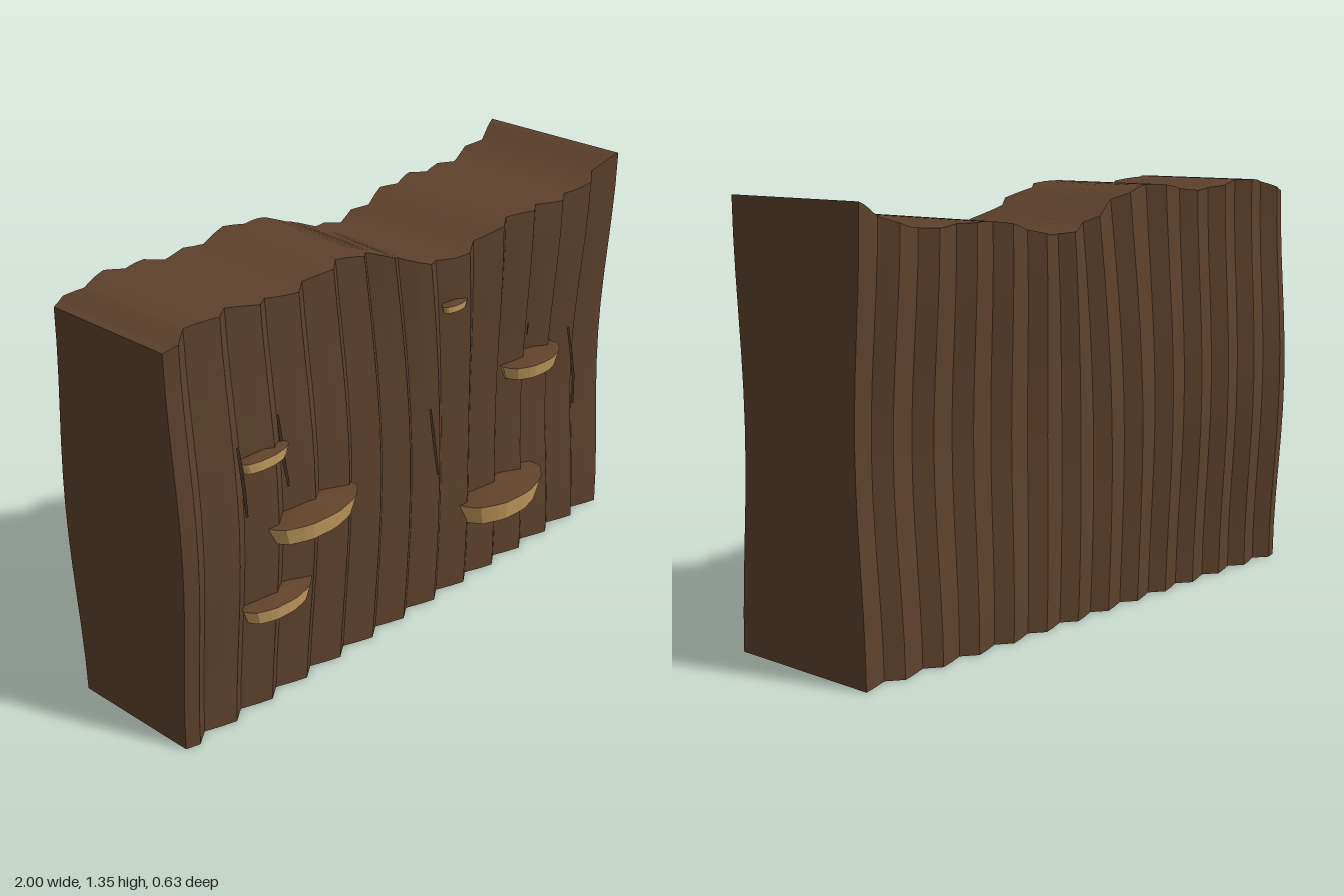
import * as THREE from 'three';

const bark = new THREE.MeshStandardMaterial({ color: 0x5d412c });
bark.name = 'bark brown';
const crackDark = new THREE.MeshStandardMaterial({ color: 0x38281b });
crackDark.name = 'crack dark brown';
crackDark.side = THREE.DoubleSide;
const fungusTop = new THREE.MeshStandardMaterial({ color: 0x60422b });
fungusTop.name = 'fungus cap brown';
const fungusRim = new THREE.MeshStandardMaterial({ color: 0xc89f60 });
fungusRim.name = 'fungus rim tan';

// Wavy upper edge, heights at even steps across x
const heights = [1.3, 1.335, 1.345, 1.338, 1.323, 1.32, 1.335, 1.345, 1.332, 1.297, 1.252,
  1.22, 1.212, 1.232, 1.257, 1.268, 1.265, 1.26, 1.268, 1.3, 1.345];
const edge = new THREE.SplineCurve(heights.map((h, i) => new THREE.Vector2(i, h)));
const topAt = (x) => edge.getPoint(THREE.MathUtils.clamp((x + 1) / 2, 0, 1) ).y;

// Saw-tooth ridges: steep drop, then a gentle two-part rise
const PERIOD = 0.1506, FIRST = -0.955;
function ridge(u) {
  const q = (u - FIRST) / PERIOD, p = q - Math.floor(q);
  if (p < 0.33) return 1 - p / 0.33;
  return p < 0.7 ? (0.6 * (p - 0.33)) / 0.37 : 0.6 + (0.4 * (p - 0.7)) / 0.3;
}
// Sideways wander of the ridges with height, pinned at both ends
const pin = (u) => 1 - Math.pow(Math.abs(u), 8);
const lean = (u, v) => v * v * Math.exp(-Math.pow(u / 0.22, 2));
const frontWander = (u, v) => pin(u)
  * (0.035 * Math.sin(Math.PI * v) * Math.cos(1.9 * u + 0.4) - 0.045 * lean(u - 0.02, v));
const backWander = (u, v) => pin(u)
  * (-0.02 * Math.sin(Math.PI * v) * Math.cos(2.5 * u) + 0.04 * lean(u + 0.1, v));

// Slow swelling of the trunk faces, with a hollow under the middle of the upper edge
const swell = (u, v) => 0.016 * Math.cos(2 * Math.PI * v) * Math.sin(Math.PI * u / 2)
  - 0.02 * lean(u + 0.17, v);
const frontZ = (u, v) => 0.177 + 0.035 * ridge(u) + swell(u, v);
const backZ = (u, v) => -0.26 - 0.035 * ridge(u) - swell(u, v);

function flat(geometry) {
  const g = geometry.toNonIndexed();
  g.computeVertexNormals();
  return g;
}

function fromGrid(positions, index) {
  const g = new THREE.BufferGeometry();
  g.setAttribute('position', new THREE.Float32BufferAttribute(positions, 3));
  g.setIndex(index);
  return flat(g);
}

// Slab made of rings around front, top, back and bottom, one per ridge crease
function barkGeometry() {
  const knots = [-1];
  for (let k = -1; k < 15; k++) {
    for (const p of [0, 0.33, 0.7]) {
      const u = FIRST + (k + p) * PERIOD;
      if (u > -0.995 && u < 0.995) knots.push(u);
    }
  }
  knots.push(1);
  const us = [];
  knots.forEach((u, i) => {
    if (i) us.push((u + knots[i - 1]) / 2);
    us.push(u);
  });
  const R = 12, N = 2 * (R + 1), pos = [], idx = [];
  for (const u of us) {
    for (let j = 0; j < N; j++) {
      const front = j <= R, v = (front ? j : N - 1 - j) / R;
      const x = u + (front ? frontWander(u, v) : backWander(u, v));
      pos.push(x, v * topAt(x), front ? frontZ(u, v) : backZ(u, v));
    }
  }
  for (let i = 0; i < us.length - 1; i++) {
    for (let j = 0; j < N; j++) {
      const k = (j + 1) % N, a = i * N, b = a + N;
      idx.push(a + j, b + j, b + k, a + j, b + k, a + k);
    }
  }
  // End faces
  const e = (us.length - 1) * N;
  for (let j = 0; j < R; j++) {
    const f = j, g = j + 1, b = N - 1 - j, c = N - 2 - j;
    idx.push(e + f, e + b, e + c, e + f, e + c, e + g);
    idx.push(f, c, b, f, g, c);
  }
  return fromGrid(pos, idx);
}

// Shelf fungus: tapered, scalloped disc half sunk in the bark, cap raised at its root
function shelfFungus(x, y0, y1, halfWidth, reach) {
  const rootZ = 0.2 + swell(x, y0 / topAt(x)), depth = reach - rootZ;
  const g = new THREE.CylinderGeometry(1, 0.87, y1 - y0, 32, 1);
  const p = g.attributes.position;
  for (let i = 0; i < p.count; i++) {
    const px = p.getX(i), pz = p.getZ(i);
    if (Math.hypot(px, pz) < 0.01) {
      if (p.getY(i) > 0) p.setY(i, p.getY(i) + 0.13 * halfWidth);
      continue;
    }
    const s = 1 + 0.015 * Math.sin(11 * Math.atan2(px, pz));
    p.setXYZ(i, px * s * halfWidth, p.getY(i), pz * s * depth);
  }
  const mesh = new THREE.Mesh(flat(g), [fungusRim, fungusTop, fungusRim]);
  mesh.position.set(x, (y0 + y1) / 2, rootZ);
  return mesh;
}

// Front surface depth at a given x and height
function surfaceZ(x, y) {
  const v = y / topAt(x);
  let u = x;
  for (let i = 0; i < 6; i++) u = x - frontWander(u, v);
  return frontZ(u, v);
}

// Crack: thin ribbon that follows the bark surface
function crackGeometry(x0, y0, x1, y1, width) {
  const n = 24, pos = [], idx = [];
  for (let i = 0; i <= n; i++) {
    const t = i / n, cx = x0 + (x1 - x0) * t, y = y0 + (y1 - y0) * t;
    const w = width * (0.7 + 0.3 * Math.sin(Math.PI * t)) / 2;
    const z = Math.max(surfaceZ(cx - w, y), surfaceZ(cx, y), surfaceZ(cx + w, y)) + 0.007;
    pos.push(cx - w, y, z, cx + w, y, z);
    if (i < n) {
      const a = 2 * i;
      idx.push(a, a + 2, a + 3, a, a + 3, a + 1);
    }
  }
  return fromGrid(pos, idx);
}

export function createModel() {
  const model = new THREE.Group();
  model.name = 'barkSlab';

  const slab = new THREE.Mesh(barkGeometry(), bark);
  slab.name = 'ridgedBark';
  model.add(slab);

  const fungi = new THREE.Group();
  fungi.name = 'shelfFungi';
  [
    [-0.667, 0.843, 0.878, 0.094, 0.242],
    [-0.482, 0.565, 0.625, 0.184, 0.299],
    [-0.625, 0.33, 0.378, 0.137, 0.264],
    [0.185, 1.04, 1.063, 0.056, 0.226],
    [0.605, 0.68, 0.728, 0.137, 0.266],
    [0.44, 0.228, 0.302, 0.2, 0.315],
  ].forEach((f, i) => {
    const shelf = shelfFungus(...f);
    shelf.name = `shelfFungus${i + 1}`;
    fungi.add(shelf);
  });
  model.add(fungi);

  const cracks = new THREE.Group();
  cracks.name = 'barkCracks';
  [
    [-0.775, 0.94, -0.735, 0.69, 0.014],
    [-0.6, 0.97, -0.565, 0.72, 0.014],
    [0.073, 0.73, 0.107, 0.48, 0.014],
    [0.81, 0.76, 0.875, 0.44, 0.016],
    [0.57, 0.86, 0.578, 0.81, 0.007],
  ].forEach((c, i) => {
    const crack = new THREE.Mesh(crackGeometry(...c), crackDark);
    crack.name = `crack${i + 1}`;
    cracks.add(crack);
  });
  model.add(cracks);

  return model;
}
